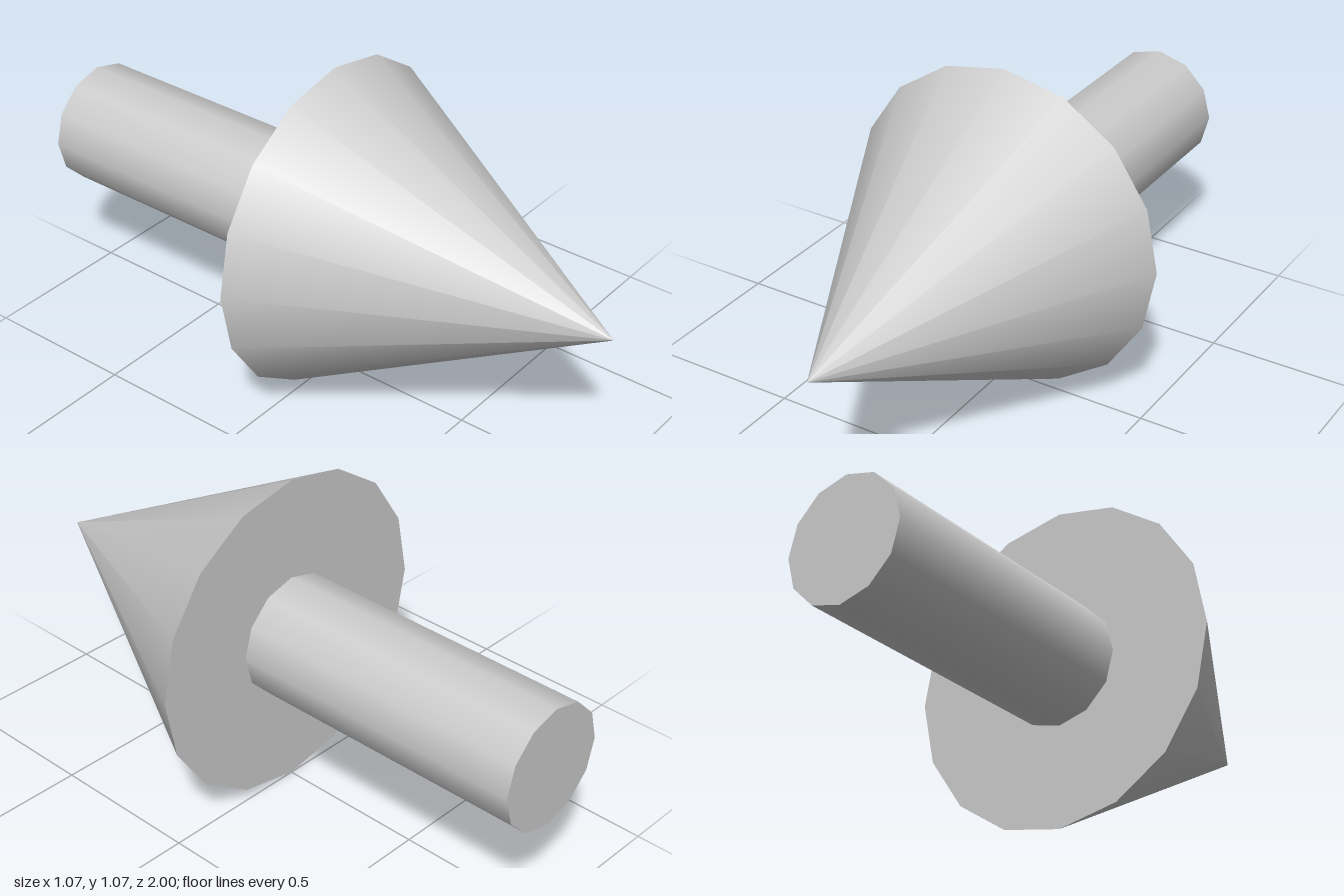
import * as THREE from 'three';

const HEAD_RADIUS = 0.533;
const SHAFT_RADIUS = 0.2;

export function createModel() {
  const group = new THREE.Group();
  group.name = 'arrow';
  const material = new THREE.MeshStandardMaterial({ color: 0xcccccc });

  // Lays a y-axis solid along z, so its top faces the front
  const addPart = (name, geometry, z) => {
    const mesh = new THREE.Mesh(geometry.rotateX(Math.PI / 2), material);
    mesh.name = name;
    mesh.position.set(0, HEAD_RADIUS, z);
    group.add(mesh);
  };

  // Pointed head with a flat back
  addPart('arrowHead', new THREE.ConeGeometry(HEAD_RADIUS, 1, 16), 0.5);

  // Round shaft behind the head
  addPart('shaft', new THREE.CylinderGeometry(SHAFT_RADIUS, SHAFT_RADIUS, 1, 12), -0.5);

  return group;
}
